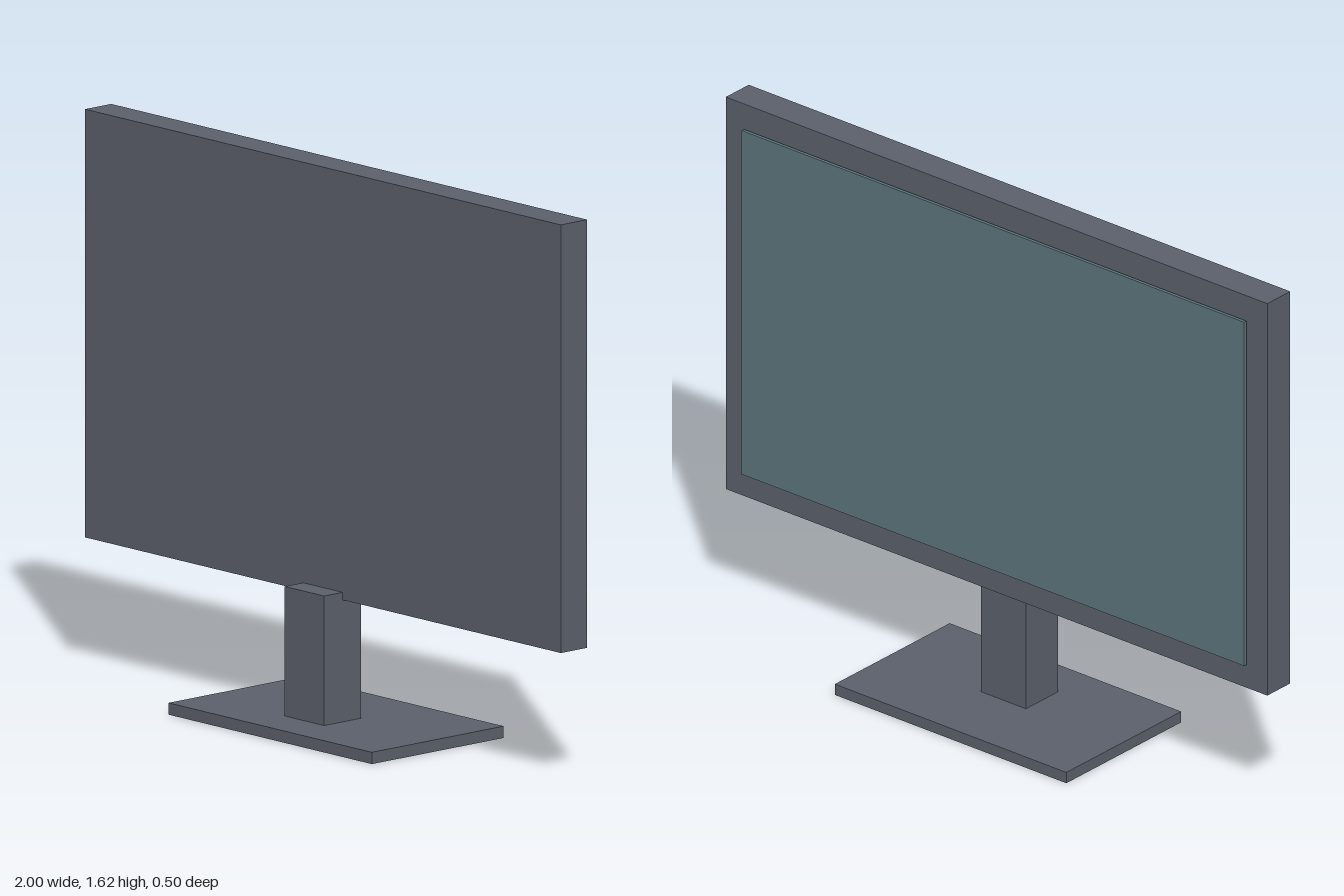
import * as THREE from 'three';

const casing = new THREE.MeshStandardMaterial({ color: 0x5b606b });
const glass = new THREE.MeshStandardMaterial({ color: 0x5c757c });

// Box given by its lower and upper limits on y and z, centred on x
function slab(name, width, [y0, y1], [z0, z1], material) {
  const mesh = new THREE.Mesh(new THREE.BoxGeometry(width, y1 - y0, z1 - z0), material);
  mesh.position.set(0, (y0 + y1) / 2, (z0 + z1) / 2);
  mesh.name = name;
  return mesh;
}

export function createModel() {
  const monitor = new THREE.Group();
  monitor.name = 'monitor';

  // Stand: flat foot and upright post that overlaps the housing
  const stand = new THREE.Group();
  stand.name = 'stand';
  stand.add(
    slab('base', 0.855, [0, 0.034], [-0.25, 0.25], casing),
    slab('post', 0.166, [0.034, 0.408], [-0.02, 0.12], casing),
  );

  // Display: housing with a thin screen panel standing just off its face
  const display = new THREE.Group();
  display.name = 'display';
  display.add(
    slab('housing', 2, [0.386, 1.622], [-0.05, 0.05], casing),
    slab('screen', 1.856, [0.462, 1.546], [-0.066, -0.056], glass),
  );

  monitor.add(stand, display);
  return monitor;
}
